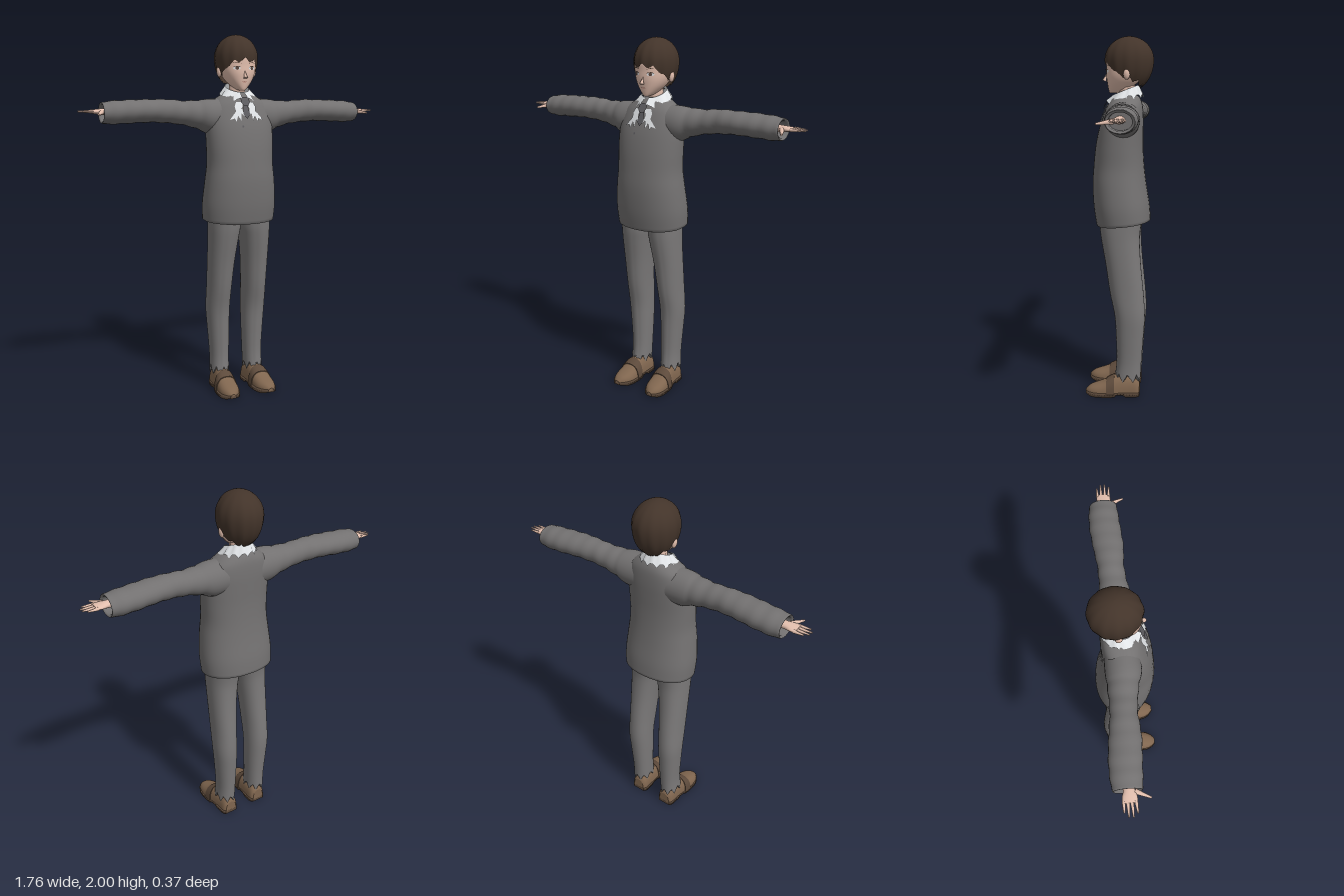
import * as THREE from 'three';

const mat = (name, color, side = THREE.DoubleSide) =>
  Object.assign(new THREE.MeshStandardMaterial({ color, side }), { name });
const M = {
  jacket: mat('jacket grey', 0x737171), trousers: mat('trouser grey', 0x7b7979),
  skin: mat('skin', 0xe3bfae), hair: mat('dark brown hair', 0x43342a),
  shirt: mat('shirt white', 0xe6e9ec), tie: mat('tie grey', 0x5c5b5f),
  shoe: mat('shoe brown', 0x80664f), sole: mat('sole brown', 0x5d4a3b),
  eye: mat('eye brown', 0x5a463e), lip: mat('lip', 0xb98476),
};

// Resample table rows with a Catmull-Rom spline in every column
function smooth(rows, n = 4) {
  const out = [];
  for (let i = 0; i < rows.length - 1; i++) {
    const [a, b, c, d] = [-1, 0, 1, 2].map(k => rows[Math.min(rows.length - 1, Math.max(0, i + k))]);
    for (let k = 0; k < n; k++) {
      const t = k / n;
      out.push(b.map((v, j) => v + 0.5 * t * (c[j] - a[j] +
        t * (2 * a[j] - 5 * v + 4 * c[j] - d[j] + t * (3 * (v - c[j]) + d[j] - a[j])))));
    }
  }
  out.push(rows[rows.length - 1]);
  return out;
}

// Skin closed rings of [x, y, z] points; end caps have their own vertices
function loft(rings, caps = true) {
  const n = rings[0].length, pos = rings.flat(2), idx = [];
  for (let r = 0; r < rings.length - 1; r++) for (let i = 0; i < n; i++) {
    const a = r * n + i, b = r * n + (i + 1) % n;
    idx.push(a, b, a + n, b, b + n, a + n);
  }
  if (caps) [rings[0], rings[rings.length - 1]].forEach((ring, e) => {
    const s = pos.length / 3;
    pos.push(...ring.flat(), ...[0, 1, 2].map(k => ring.reduce((m, p) => m + p[k] / n, 0)));
    for (let i = 0; i < n; i++) {
      const a = s + i, b = s + (i + 1) % n;
      e ? idx.push(a, b, s + n) : idx.push(b, a, s + n);
    }
  });
  // Turn the faces outward
  let vol = 0;
  const v = k => new THREE.Vector3().fromArray(pos, idx[k] * 3);
  for (let k = 0; k < idx.length; k += 3) vol += v(k).dot(v(k + 1).cross(v(k + 2)));
  if (vol < 0) idx.reverse();
  const g = new THREE.BufferGeometry();
  g.setAttribute('position', new THREE.Float32BufferAttribute(pos, 3));
  g.setIndex(idx);
  g.computeVertexNormals();
  return g;
}

function mirrored(geo) {
  const g = geo.clone().scale(-1, 1, 1);
  g.setIndex(Array.from(g.index.array).reverse());
  g.computeVertexNormals();
  return g;
}

const spow = (v, e) => Math.sign(v) * Math.abs(v) ** e;
const circle = (n, f) => Array.from({ length: n }, (_, i) => f(i / n * Math.PI * 2, i));
// Horizontal ring: [y, xMin, xMax, zFront, zBack, tilt]
const ringY = ([y, x0, x1, zf, zb, tilt = 0], n = 40, e = 0.9) => circle(n, a => {
  const x = (x0 + x1) / 2 + (x1 - x0) / 2 * spow(Math.sin(a), e);
  const z = (zf + zb) / 2 + (zf - zb) / 2 * spow(Math.cos(a), e);
  return [x, y - tilt * z, z];
});
// Ring across x: [x, yLow, yHigh, zFront, zBack]
const ringX = ([x, y0, y1, zf, zb], n = 28) => circle(n, a =>
  [x, (y0 + y1) / 2 + (y1 - y0) / 2 * Math.sin(a), (zf + zb) / 2 + (zf - zb) / 2 * Math.cos(a)]);
const sym = rows => rows.map(([y, w, ...r]) => [y, -w, w, ...r]);

const TORSO = smooth(sym([
  [0.985, 0.205, 0.127, -0.175, 0.1], [1.08, 0.209, 0.142, -0.168, 0.05], [1.2, 0.199, 0.148, -0.15, 0],
  [1.3, 0.188, 0.142, -0.138, 0], [1.4, 0.19, 0.132, -0.132, 0], [1.49, 0.192, 0.115, -0.132, 0],
  [1.56, 0.188, 0.093, -0.132, 0], [1.62, 0.165, 0.07, -0.128, 0], [1.655, 0.125, 0.05, -0.12, 0],
  [1.68, 0.08, 0.035, -0.105, 0], [1.69, 0.05, 0.02, -0.085, 0]]));
const HEAD = smooth(sym([
  [1.697, 0.012, 0.052, 0.02], [1.705, 0.026, 0.057, -0.02], [1.725, 0.048, 0.062, -0.06],
  [1.755, 0.073, 0.067, -0.1], [1.79, 0.09, 0.071, -0.125], [1.83, 0.098, 0.07, -0.135],
  [1.88, 0.098, 0.068, -0.14], [1.93, 0.08, 0.04, -0.12], [1.96, 0.04, 0, -0.09]]));

// Depth of the front of a ring table at (x, y)
function frontZ(rows, x, y, e = 0.9) {
  const i = Math.max(1, rows.findIndex(r => r[0] >= y));
  const t = (y - rows[i - 1][0]) / (rows[i][0] - rows[i - 1][0]);
  const [, , w, zf, zb] = rows[i].map((v, j) => THREE.MathUtils.lerp(rows[i - 1][j], v, t));
  const s = Math.min(1, Math.abs(x / w));
  return (zf + zb) / 2 + (zf - zb) / 2 * (1 - s ** (2 / e)) ** (e / 2);
}
// Thin plate laid on the front of a ring table
function patch(rows, pts, off = 0.004) {
  const g = new THREE.ShapeGeometry(new THREE.Shape(pts.map(p => new THREE.Vector2(...p))));
  const p = g.attributes.position;
  for (let i = 0; i < p.count; i++) p.setZ(i, frontZ(rows, p.getX(i), p.getY(i)) + off);
  g.computeVertexNormals();
  return g;
}
const oval = (x, y, rx, ry, n = 12) => circle(n, a => [x + rx * Math.cos(a), y + ry * Math.sin(a)]);

// Tapered rod between two points
function rod(a, b, r0, r1) {
  const p = new THREE.Vector3(...a), d = new THREE.Vector3(...b).sub(p);
  const g = new THREE.CylinderGeometry(r1, r0, d.length(), 8).translate(0, d.length() / 2, 0);
  g.applyQuaternion(new THREE.Quaternion().setFromUnitVectors(new THREE.Vector3(0, 1, 0), d.clone().normalize()));
  return g.translate(...a);
}

export function createModel() {
  const root = new THREE.Group();
  const add = (name, geo, m) => {
    const mesh = new THREE.Mesh(geo, m);
    mesh.name = name;
    root.add(mesh);
  };
  const pair = (name, geo, m) => { add('left ' + name, geo, m); add('right ' + name, mirrored(geo), m); };

  // Jacket body, with the hem folded inward
  add('jacket body', loft([[1.03, -0.19, 0.19, 0.11, -0.155, 0.1], [0.985, -0.197, 0.197, 0.12, -0.167, 0.1],
    ...TORSO].map(r => ringY(r))), M.jacket);

  // Sleeves with soft wrinkles and a hollow cuff
  const sleeve = smooth([
    [0.1, 1.46, 1.655, 0.06, -0.12], [0.18, 1.465, 1.652, 0.06, -0.12], [0.24, 1.492, 1.645, 0.042, -0.115],
    [0.32, 1.513, 1.643, 0.028, -0.113], [0.4, 1.523, 1.65, 0.021, -0.115], [0.5, 1.528, 1.65, 0.028, -0.128],
    [0.62, 1.523, 1.647, 0.022, -0.139], [0.7, 1.52, 1.642, 0.016, -0.137], [0.745, 1.522, 1.637, 0.014, -0.133],
    [0.757, 1.527, 1.632, 0.008, -0.127]], 5).map(r => {
    const w = r[0] > 0.22 ? 0.002 * Math.sin(r[0] * 75) : 0;
    return [r[0], r[1] - w, r[2] + w, r[3] + w, r[4] - w];
  });
  sleeve.push([0.75, 1.537, 1.622, -0.004, -0.115], [0.7, 1.537, 1.622, -0.004, -0.115]);
  pair('sleeve', loft(sleeve.map(r => ringX(r))), M.jacket);

  // Hands
  pair('palm', loft(smooth([[0.69, 1.565, 1.605, -0.03, -0.08], [0.75, 1.568, 1.602, -0.027, -0.08],
    [0.785, 1.573, 1.599, -0.017, -0.089], [0.815, 1.577, 1.596, -0.018, -0.09]]).map(r => ringX(r, 16))), M.skin);
  [[-0.026, 0.863], [-0.045, 0.88], [-0.064, 0.878], [-0.082, 0.858]].forEach(([z, tip], i) =>
    pair('finger ' + (i + 1), rod([0.805, 1.587, z], [tip, 1.587, z * 1.12 + 0.008], 0.009, 0.004), M.skin));
  pair('thumb', rod([0.76, 1.582, -0.028], [0.795, 1.572, 0.047], 0.014, 0.005), M.skin);

  // Trouser legs with a pressed crease and an uneven hem
  const leg = smooth([
    [0.11, 0.052, 0.158, 0.012, -0.128], [0.2, 0.05, 0.156, 0.003, -0.132], [0.35, 0.046, 0.166, 0.006, -0.143],
    [0.47, 0.044, 0.174, 0.014, -0.15], [0.6, 0.04, 0.173, 0.04, -0.142], [0.75, 0.029, 0.175, 0.062, -0.127],
    [0.88, 0.013, 0.176, 0.085, -0.119], [0.95, 0.002, 0.177, 0.095, -0.122], [1.03, 0, 0.177, 0.1, -0.135]]);
  pair('trouser leg', loft(leg.map((r, k) => ringY(r, 32).map(([x, y, z], i) => [x,
    k ? y : y + (i % 4 === 0 ? 0.025 : i % 4 === 2 ? -0.025 : 0), z + (i === 0 ? 0.006 : 0)]))), M.trousers);

  // Shoes: [z, centre x, half width, top height]
  const shoeRows = smooth([
    [-0.122, 0.1, 0.035, 0.08], [-0.105, 0.1, 0.048, 0.105], [-0.06, 0.101, 0.05, 0.115], [-0.01, 0.104, 0.053, 0.122],
    [0.035, 0.107, 0.058, 0.108], [0.08, 0.109, 0.06, 0.083], [0.125, 0.111, 0.055, 0.066],
    [0.16, 0.114, 0.038, 0.052], [0.182, 0.116, 0.014, 0.032]], 3);
  const shoeRing = ([z, cx, w, h], grow = 0) => circle(24, a => [cx + (w + grow) * spow(Math.cos(a), 0.8),
    0.016 + Math.max(0, (h + grow - 0.016) * spow(Math.sin(a), 0.8)), z]);
  pair('shoe upper', loft(shoeRows.map(r => shoeRing(r))), M.shoe);
  pair('shoe strap', loft(shoeRows.slice(11, 15).map(r => shoeRing(r, 0.004))), M.sole);
  const lift = z => (z > -0.03 && z < 0.02 ? 0.012 : z > 0.15 ? (z - 0.15) * 0.25 : 0);
  pair('shoe sole', loft(shoeRows.map(([z, cx, w]) =>
    [[1, 0.024], [-1, 0.024], [-1, lift(z)], [1, lift(z)]].map(([s, y]) => [cx + s * (w + 0.003), y, z]))), M.sole);

  // Neck, head, ears and nose
  add('neck', rod([0, 1.63, -0.045], [0, 1.76, -0.035], 0.052, 0.045), M.skin);
  add('head', loft(HEAD.map(r => ringY(r, 32))), M.skin);
  pair('ear', new THREE.SphereGeometry(1, 12, 8).scale(0.012, 0.028, 0.018).rotateZ(-0.15).translate(0.104, 1.797, -0.045), M.skin);
  add('nose', new THREE.ConeGeometry(0.012, 0.045, 8).rotateX(-0.3).translate(0, 1.785, 0.076), M.skin);

  // Face details
  pair('eye white', patch(HEAD, oval(0.043, 1.815, 0.019, 0.009), 0.003), M.shirt);
  pair('iris', patch(HEAD, oval(0.043, 1.815, 0.009, 0.009), 0.005), M.eye);
  pair('upper lash', patch(HEAD, [[0.021, 1.818], [0.032, 1.826], [0.05, 1.827], [0.066, 1.819], [0.05, 1.823], [0.032, 1.822]], 0.006), M.hair);
  pair('eyebrow', patch(HEAD, [[0.02, 1.84], [0.045, 1.848], [0.068, 1.842], [0.045, 1.844]], 0.005), M.hair);
  add('mouth', patch(HEAD, oval(0, 1.743, 0.015, 0.003), 0.004), M.lip);

  // Hair shell: the lower edge follows a hairline around the head
  const line = [[0, 1.86], [0.45, 1.85], [0.75, 1.835], [1.05, 1.8], [1.4, 1.79], [1.9, 1.765], [2.5, 1.735], [3.15, 1.727]];
  const hairline = a => {
    const i = line.findIndex(p => p[0] >= a) || 1;
    return THREE.MathUtils.mapLinear(a, line[i - 1][0], line[i][0], line[i - 1][1], line[i][1]);
  };
  const hair = [];
  for (let k = 0; k <= 16; k++) hair.push(circle(96, (a, i) => {
    const t = k / 16, edge = hairline(Math.min(a, Math.PI * 2 - a)) + 0.016 * (Math.abs(i % 8 - 4) / 2 - 1) * (0.7 + 0.3 * Math.sin(i));
    const y = 2 - (2 - edge) * (1 - Math.cos(t * Math.PI / 2));
    const u = (y - 1.875) / (y > 1.875 ? 0.125 : 0.17);
    const r = Math.sqrt(Math.max(0, 1 - u * u)) * (1 + 0.018 * t * Math.cos(i * Math.PI / 4));
    return [0.117 * r * Math.sin(a), y, -0.053 + 0.132 * r * Math.cos(a)];
  }));
  add('hair', loft(hair, false), M.hair);

  // Shirt collar: a sloping band, open at the throat, with a jagged back edge
  const cp = [], ci = [], N = 36;
  for (let i = 0; i <= N; i++) {
    const a = 0.16 + i / N * (Math.PI * 2 - 0.32), s = Math.sin(a), c = Math.cos(a);
    const point = Math.max(0, 1 - Math.abs(Math.min(a, Math.PI * 2 - a) - 0.65) / 0.5);
    const jag = c < 0 ? (i % 3 ? 0.008 : -0.012) : 0;
    cp.push(0.066 * s, 1.715 - 0.027 * c, -0.035 + 0.07 * c,
      0.1 * s, 1.672 - 0.012 * c - 0.022 * point + jag, -0.028 + (c > 0 ? 0.1 : 0.102) * c);
    if (i < N) ci.push(2 * i, 2 * i + 1, 2 * i + 2, 2 * i + 1, 2 * i + 3, 2 * i + 2);
  }
  const collar = new THREE.BufferGeometry();
  collar.setAttribute('position', new THREE.Float32BufferAttribute(cp, 3));
  collar.setIndex(ci);
  collar.computeVertexNormals();
  add('shirt collar', collar, M.shirt);

  // Jagged shirt front, tie and buttons
  pair('shirt front', patch(TORSO, [[0.012, 1.635], [0.05, 1.635], [0.062, 1.61], [0.058, 1.585], [0.098, 1.54],
    [0.07, 1.548], [0.063, 1.53], [0.05, 1.562], [0.034, 1.535], [0.03, 1.575], [0.014, 1.56], [0.022, 1.6]], 0.007), M.shirt);
  add('tie knot', patch(TORSO, [[-0.022, 1.662], [0.022, 1.662], [0.026, 1.635], [0.012, 1.615], [-0.012, 1.615], [-0.026, 1.635]], 0.018), M.tie);
  add('tie blade', patch(TORSO, [[-0.012, 1.62], [0.012, 1.62], [0.02, 1.57], [0, 1.545], [-0.02, 1.57]], 0.009), M.tie);
  add('button', patch(TORSO, oval(-0.028, 1.505, 0.006, 0.006), 0.004), M.tie);
  return root;
}
